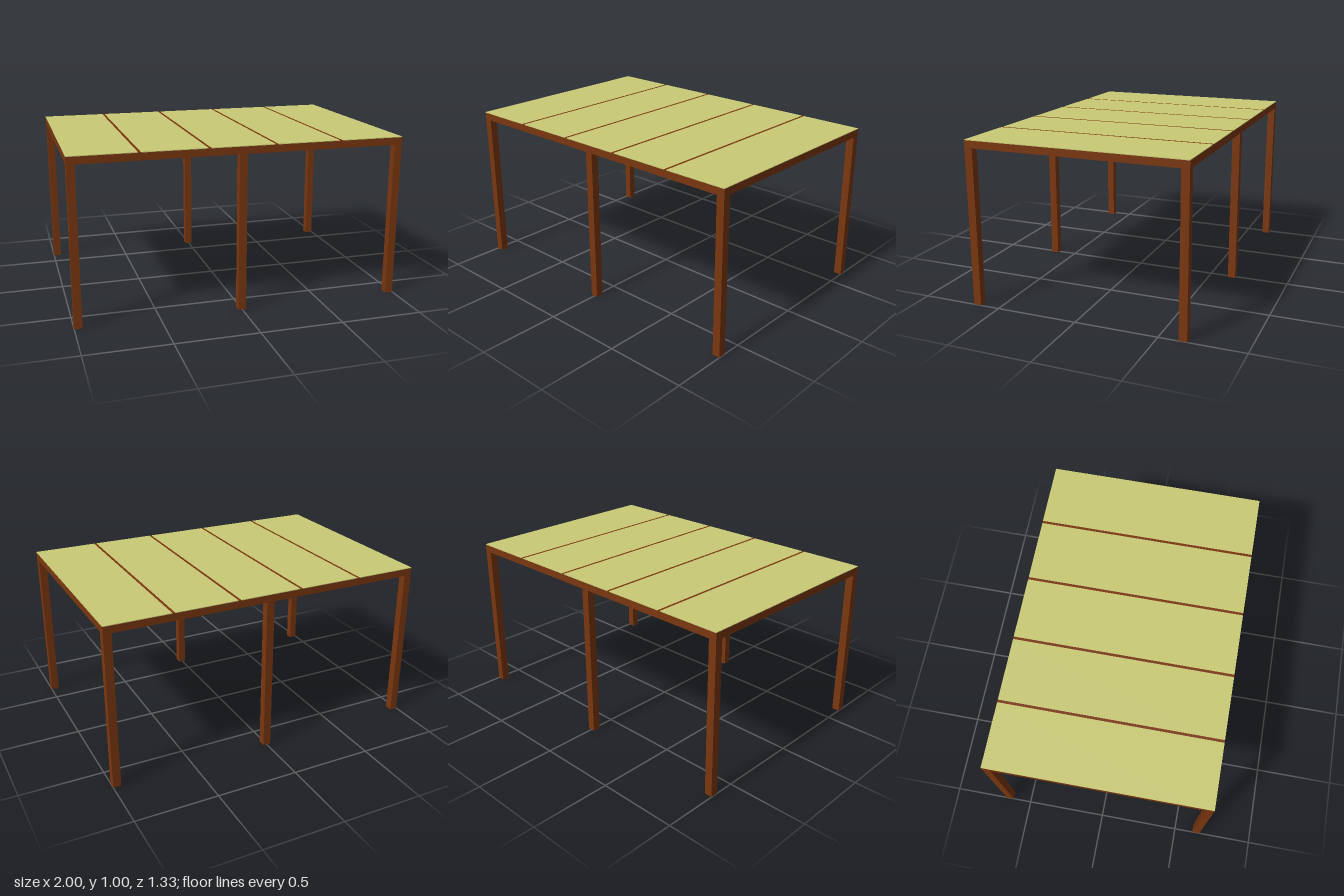
import * as THREE from 'three';

export function createModel() {
  const group = new THREE.Group();
  group.name = 'pergola';

  const wood = new THREE.MeshStandardMaterial({ color: 0x7a3710 });
  wood.name = 'brown wood';
  const sheet = new THREE.MeshStandardMaterial({ color: 0xcaca76 });
  sheet.name = 'pale olive roof';

  const W = 2, H = 1, D = 1.333;
  const T = 0.048;                       // post and beam thickness
  const sheetT = 0.004, rafterW = 0.016; // roof sheet and rafter thickness
  const beamTop = H - sheetT, beamBase = H - T;

  // Box given by its centre in plan and its bottom and top heights
  function box(name, material, w, d, x, z, y0, y1) {
    const mesh = new THREE.Mesh(new THREE.BoxGeometry(w, y1 - y0, d), material);
    mesh.name = name;
    mesh.position.set(x, (y0 + y1) / 2, z);
    group.add(mesh);
  }

  const px = (W - T) / 2, pz = (D - T) / 2;

  // Six posts, with a long beam along the front and the back
  for (const z of [-pz, pz]) {
    for (const x of [-px, 0, px]) box('post', wood, T, T, x, z, 0, beamBase);
    box('longBeam', wood, W, T, 0, z, beamBase, beamTop);
  }

  // Side beams between the long beams
  for (const x of [-px, px]) box('sideBeam', wood, T, D - 2 * T, x, 0, beamBase, beamTop);

  // Four thin rafters, their tops showing as strips between the roof panels
  const bays = 5, bay = W / bays;
  for (let i = 1; i < bays; i++) {
    const x = -W / 2 + i * bay;
    box('rafter', wood, rafterW, D - 2 * T, x, 0, beamBase, beamTop);
    box('rafterCap', wood, rafterW, D, x, 0, beamTop, H);
  }

  // Five roof panels
  for (let i = 0; i < bays; i++) {
    const x0 = -W / 2 + i * bay + (i > 0 ? rafterW / 2 : 0);
    const x1 = -W / 2 + (i + 1) * bay - (i < bays - 1 ? rafterW / 2 : 0);
    box('roofPanel', sheet, x1 - x0, D, (x0 + x1) / 2, 0, beamTop, H);
  }

  return group;
}
